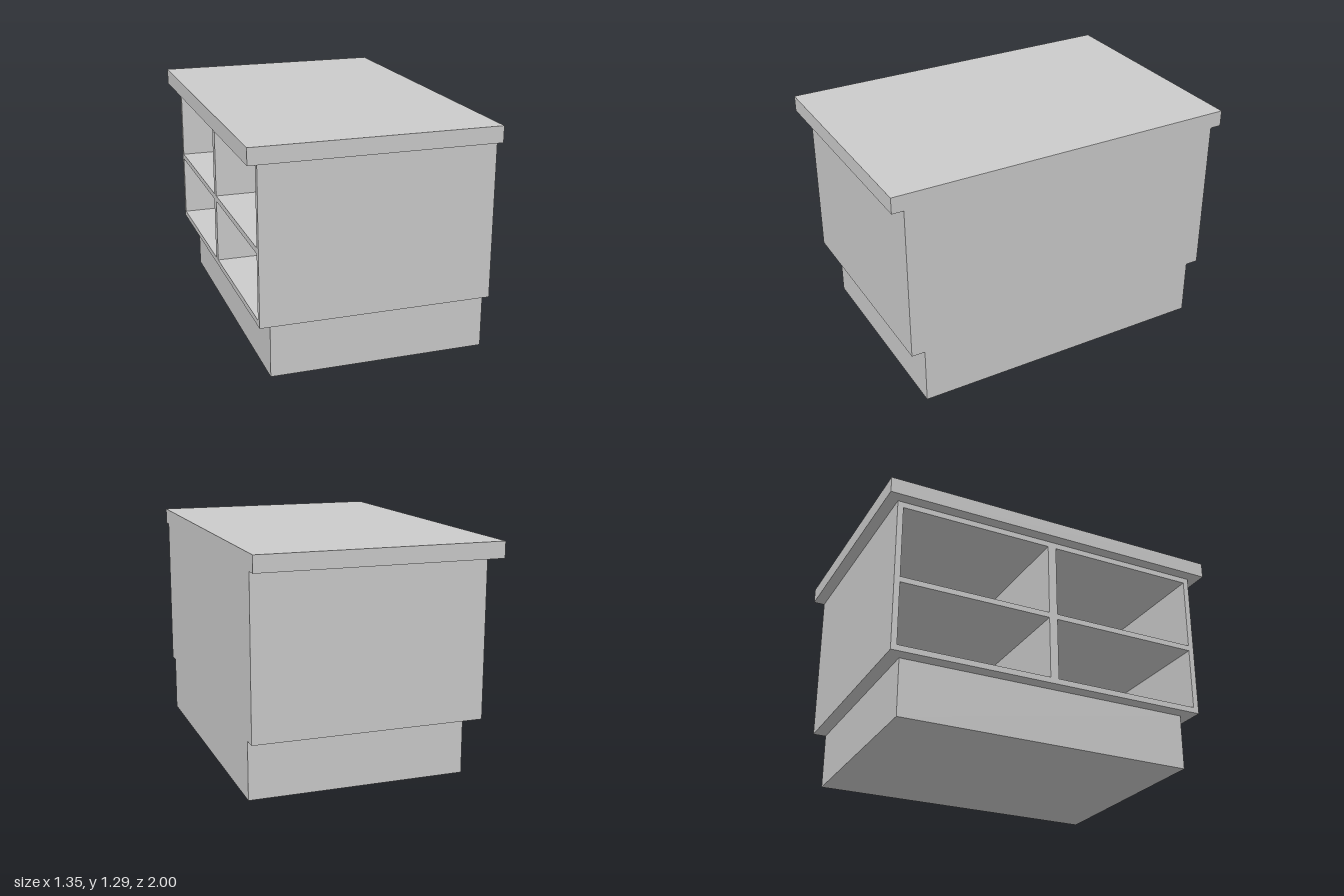
import * as THREE from 'three';

const material = new THREE.MeshStandardMaterial({ color: 0xcccccc, flatShading: true });

// Box given by its lower and upper limits on each axis
function panel(name, [x0, x1], [y0, y1], [z0, z1]) {
  const mesh = new THREE.Mesh(new THREE.BoxGeometry(x1 - x0, y1 - y0, z1 - z0), material);
  mesh.position.set((x0 + x1) / 2, (y0 + y1) / 2, (z0 + z1) / 2);
  mesh.name = name;
  return mesh;
}

export function createModel() {
  const model = new THREE.Group();
  model.name = 'islandCounter';

  const wall = 0.675;   // flush side, against the wall
  const open = -0.61;   // open shelf side
  const t = 0.033;      // board thickness
  const y0 = 0.32, y1 = 1.2, halfLength = 0.935;

  // Recessed plinth and overhanging worktop
  model.add(panel('plinth', [-0.535, wall], [0, y0], [-0.86, 0.86]));
  model.add(panel('worktop', [-0.675, wall], [y1, 1.29], [-1, 1]));

  // Cabinet carcass, open towards -x
  const cabinet = new THREE.Group();
  cabinet.name = 'cabinet';
  const inner = halfLength - t;
  const depth = [open, wall - t];
  cabinet.add(panel('backPanel', [wall - t, wall], [y0, y1], [-halfLength, halfLength]));
  cabinet.add(panel('frontEndPanel', depth, [y0, y1], [inner, halfLength]));
  cabinet.add(panel('rearEndPanel', depth, [y0, y1], [-halfLength, -inner]));
  cabinet.add(panel('floorPanel', depth, [y0, y0 + t], [-inner, inner]));
  cabinet.add(panel('topPanel', depth, [y1 - t, y1], [-inner, inner]));

  // Central divider with one shelf on each side
  const halfDivider = 0.025;
  cabinet.add(panel('divider', depth, [y0 + t, y1 - t], [-halfDivider, halfDivider]));
  cabinet.add(panel('frontShelf', depth, [0.713, 0.745], [halfDivider, inner]));
  cabinet.add(panel('rearShelf', depth, [0.713, 0.745], [-inner, -halfDivider]));
  model.add(cabinet);

  return model;
}
